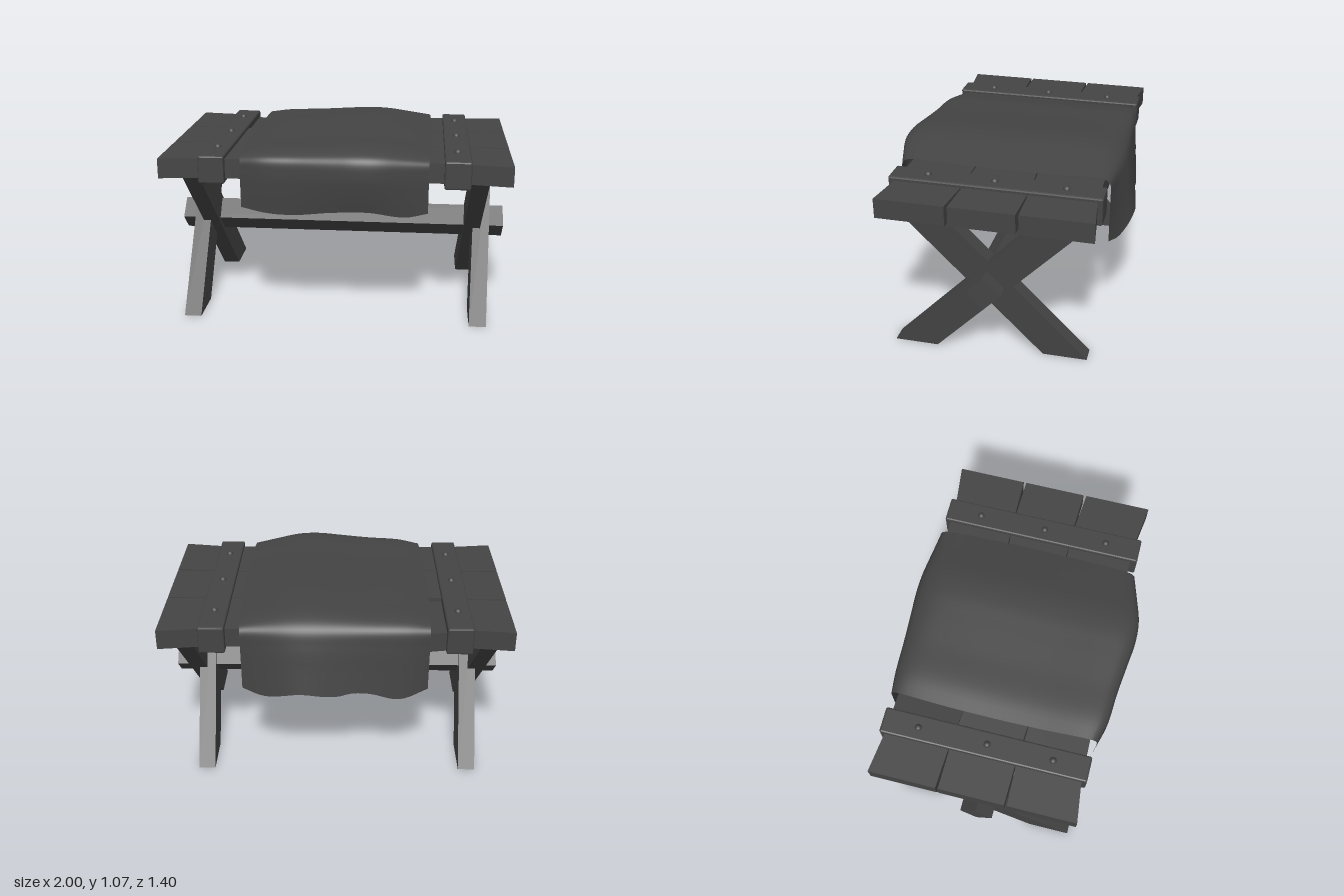
import * as THREE from 'three';
import { RoundedBoxGeometry } from 'three/addons/geometries/RoundedBoxGeometry.js';

const DARK = 0x444444;
const wood = new THREE.MeshStandardMaterial({ color: DARK, flatShading: true });
const hollowWood = new THREE.MeshStandardMaterial({ color: DARK, flatShading: true, side: THREE.DoubleSide });
const metal = new THREE.MeshStandardMaterial({ color: DARK });
const fabric = new THREE.MeshStandardMaterial({ color: DARK, side: THREE.DoubleSide });

function add(parent, name, geometry, material, x = 0, y = 0, z = 0) {
  const mesh = new THREE.Mesh(geometry, material);
  mesh.name = name;
  mesh.position.set(x, y, z);
  parent.add(mesh);
  return mesh;
}

// Moves every vertex of a geometry by a rule
function reshape(geometry, rule) {
  const p = geometry.attributes.position;
  const v = new THREE.Vector3();
  for (let i = 0; i < p.count; i++) {
    rule(v.fromBufferAttribute(p, i));
    p.setXYZ(i, v.x, v.y, v.z);
  }
  geometry.computeVertexNormals();
  return geometry;
}

// Smooth curve through [position, value] pairs, read at any position
function sample(pairs, x) {
  const last = pairs.length - 1;
  let i = 0;
  while (i < last - 1 && x > pairs[i + 1][0]) i++;
  const [a, b] = [pairs[i], pairs[i + 1]];
  const t = THREE.MathUtils.clamp((x - a[0]) / (b[0] - a[0]), 0, 1);
  const slope = (k) => {
    const lo = pairs[Math.max(k - 1, 0)], hi = pairs[Math.min(k + 1, last)];
    return (hi[1] - lo[1]) / (hi[0] - lo[0]) * (b[0] - a[0]);
  };
  const t2 = t * t, t3 = t2 * t;
  return (2 * t3 - 3 * t2 + 1) * a[1] + (t3 - 2 * t2 + t) * slope(i)
    + (3 * t2 - 2 * t3) * b[1] + (t3 - t2) * slope(i + 1);
}

// Rough-hewn plank: edges given at six stations along its length
const STATIONS = [-1, -0.77, -0.5, 0.5, 0.77, 1];
function plank(back, front, sag = [0, 0, 0, 0, 0, 0]) {
  return reshape(new THREE.BoxGeometry(5, 0.115, 1, 5, 1, 1), (v) => {
    const k = Math.round(v.x + 2.5);
    v.x = STATIONS[k];
    v.z = v.z < 0 ? back[k] : front[k];
    v.y += 0.921 + sag[k];
  });
}

// Slanted open-ended leg, running from zBottom to zTop and leaning outward
function leg(side, xBottom, zBottom, zTop) {
  const tube = new THREE.CylinderGeometry(Math.SQRT1_2, Math.SQRT1_2, 1, 4, 1, true);
  return reshape(tube.rotateY(Math.PI / 4), (v) => {
    const t = v.y + 0.5;
    v.x = v.x * 0.1 + side * (xBottom + 0.04 * t);
    v.y = 0.85 * t;
    v.z = v.z * 0.255 + THREE.MathUtils.lerp(zBottom, zTop, t);
  });
}

// Draped cloth: a hanging profile that swells toward the middle of its width
function clothGeometry() {
  const curve = (pts) => new THREE.CatmullRomCurve3(
    pts.map(([z, y]) => new THREE.Vector3(0, y, z)), false, 'centripetal');
  const edge = curve([[0.605, 0.69], [0.61, 0.8], [0.612, 0.92], [0.605, 0.98], [0.57, 1.003],
    [0.25, 1.006], [-0.25, 1.006], [-0.56, 1.003], [-0.595, 0.975], [-0.6, 0.88], [-0.6, 0.74], [-0.6, 0.605]]);
  const middle = curve([[0.67, 0.69], [0.69, 0.8], [0.702, 0.92], [0.69, 1.01], [0.63, 1.05],
    [0.25, 1.06], [-0.35, 1.07], [-0.54, 1.05], [-0.62, 1.0], [-0.65, 0.9], [-0.675, 0.75], [-0.7, 0.605]]);
  const swell = [[-0.53, 0], [-0.4, 0.4], [-0.2, 0.58], [0, 0.85], [0.12, 1], [0.25, 0.92], [0.4, 0.45], [0.53, 0]];
  const frontHem = [[-0.53, 0.02], [-0.35, -0.01], [-0.2, -0.01], [0, 0.02], [0.2, 0.03], [0.4, -0.01], [0.53, 0.01]];
  const backHem = [[-0.53, 0.01], [-0.36, -0.03], [-0.2, 0.01], [-0.1, 0.02], [0, 0.005], [0.2, 0.025], [0.4, -0.015], [0.53, 0.01]];
  const a = new THREE.Vector3(), b = new THREE.Vector3();
  return reshape(new THREE.PlaneGeometry(1.06, 1, 32, 72), (v) => {
    const x = v.x;
    const t = THREE.MathUtils.clamp(v.y + 0.5, 0, 1);
    edge.getPoint(t, a);
    middle.getPoint(t, b);
    a.lerp(b, sample(swell, x));
    const low = Math.max(0, (0.98 - a.y) / 0.35);
    const hem = sample(t < 0.5 ? frontHem : backHem, x);
    const spread = 0.03 * Math.max(0, 1 - (a.z / 0.6) ** 2);
    v.set(x * (1 + spread) + 0.004, a.y + low * hem, a.z);
  });
}

export function createModel() {
  const model = new THREE.Group();

  // Table top
  const top = new THREE.Group();
  top.name = 'tableTop';
  model.add(top);
  add(top, 'frontPlank', plank(
    [0.206, 0.201, 0.218, 0.186, 0.188, 0.21], [0.603, 0.575, 0.57, 0.56, 0.57, 0.603]), wood);
  add(top, 'middlePlank', plank(
    [-0.188, -0.185, -0.165, -0.175, -0.183, -0.176], [0.19, 0.195, 0.212, 0.18, 0.182, 0.192]), wood);
  add(top, 'backPlank', plank(
    [-0.593, -0.565, -0.56, -0.56, -0.565, -0.593], [-0.203, -0.191, -0.171, -0.181, -0.189, -0.192],
    [0, 0, -0.03, 0, 0, 0]), wood);

  for (const side of [1, -1]) {
    const label = side > 0 ? 'left' : 'right';

    // Cleat clamping the planks, with round bolt heads
    add(model, label + 'Cleat', new RoundedBoxGeometry(0.15, 0.163, 1.2, 1, 0.01), wood,
      side * 0.695, 0.92, 0.005);
    for (const z of [-0.385, 0.015, 0.395]) {
      add(model, label + 'Bolt', new THREE.SphereGeometry(0.021, 16, 10), metal, side * 0.695, 1.0, z);
    }

    // Crossed legs, one lapped just outside the other
    const legs = new THREE.Group();
    legs.name = label + 'CrossedLegs';
    legs.position.x = -0.004;
    model.add(legs);
    add(legs, 'outerLeg', leg(side, 0.845, 0.45, -0.365), hollowWood);
    add(legs, 'innerLeg', leg(side, 0.79, -0.42, 0.39), hollowWood);
  }

  // Square stretcher set on its corner through both leg crossings
  const stretcher = add(model, 'stretcher', new THREE.BoxGeometry(2, 0.139, 0.139), wood, 0, 0.463, 0.01);
  stretcher.rotation.x = Math.PI / 4;

  // Cloth hanging over front and back
  add(model, 'cloth', clothGeometry(), fabric);

  return model;
}
